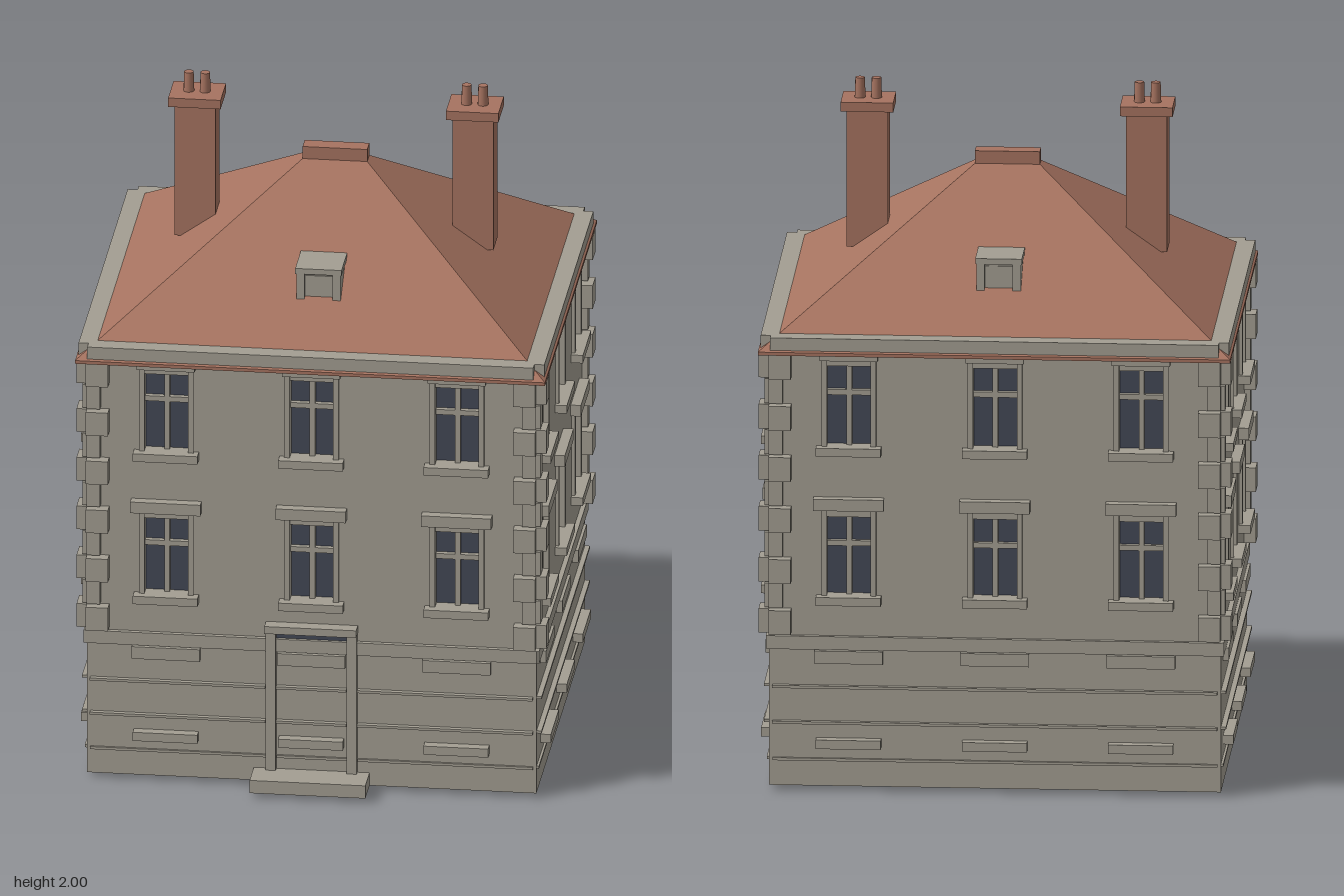
import * as THREE from 'three';

const stone = new THREE.MeshStandardMaterial({ color: 0xa39e92 });
stone.name = 'stone';
const terracotta = new THREE.MeshStandardMaterial({ color: 0xa67360 });
terracotta.name = 'terracotta';
const glass = new THREE.MeshStandardMaterial({ color: 0x434856 });
glass.name = 'glass';

// Box given by its minimum and maximum corners
function box(parent, name, mat, x0, x1, y0, y1, z0, z1) {
  const mesh = new THREE.Mesh(new THREE.BoxGeometry(x1 - x0, y1 - y0, z1 - z0), mat);
  mesh.position.set((x0 + x1) / 2, (y0 + y1) / 2, (z0 + z1) / 2);
  mesh.name = name;
  parent.add(mesh);
  return mesh;
}

const WIN = 0.064; // half width of a window opening
const FLOORS = [[0.59, 0.825], [1.04, 1.28]];

// Recessed window with glazing bars, jambs, sill and lintel; z is the wall face
function addWindow(parent, x, z, floor) {
  const [y0, y1] = FLOORS[floor];
  const g = new THREE.Group();
  g.name = 'window';
  g.position.set(x, 0, z);
  box(g, 'windowPane', glass, -WIN, WIN, y0, y1, -0.034, -0.028);
  box(g, 'mullion', stone, -0.008, 0.008, y0, y1, -0.03, -0.012);
  box(g, 'transom', stone, -WIN, WIN, y1 - 0.09, y1 - 0.074, -0.03, -0.012);
  for (const s of [-1, 1]) box(g, 'jamb', stone, s * 0.072 - 0.008, s * 0.072 + 0.008, y0, y1 + 0.02, -0.01, 0.01);
  box(g, 'sill', stone, -0.095, 0.095, y0 - 0.025, y0, -0.01, 0.035);
  if (floor === 0) box(g, 'lintel', stone, -0.103, 0.103, y1 + 0.025, y1 + 0.06, -0.01, 0.03);
  else box(g, 'lintel', stone, -0.085, 0.085, y1 + 0.02, y1 + 0.04, -0.01, 0.022);
  parent.add(g);
}

// One side of the house, facing +z: half is half its length, dist its distance out
function facade(name, half, dist, bay, isFront) {
  const g = new THREE.Group();
  g.name = name;
  const wall = new THREE.Shape([
    new THREE.Vector2(-half, 0.46), new THREE.Vector2(half, 0.46),
    new THREE.Vector2(half, 1.325), new THREE.Vector2(-half, 1.325)]);
  for (const x of [-bay, 0, bay]) {
    FLOORS.forEach(([y0, y1], i) => {
      wall.holes.push(new THREE.Path([
        new THREE.Vector2(x - WIN, y0), new THREE.Vector2(x - WIN, y1),
        new THREE.Vector2(x + WIN, y1), new THREE.Vector2(x + WIN, y0)]));
      addWindow(g, x, dist, i);
    });
    // Ground floor ledges
    box(g, 'lowerLintel', stone, x - 0.1, x + 0.1, 0.387, 0.425, dist, dist + 0.022);
    box(g, 'lowerSill', stone, x - 0.095, x + 0.095, 0.133, 0.16, dist, dist + 0.035);
  }
  const geo = new THREE.ExtrudeGeometry(wall, { depth: 0.035, bevelEnabled: false });
  const mesh = new THREE.Mesh(geo, stone);
  mesh.name = 'upperWall';
  mesh.position.z = dist - 0.035;
  g.add(mesh);

  // Thin string courses, broken by the door surround at the front
  const spans = isFront
    ? [[-half, -0.135], [-0.103, 0.103], [0.135, half]]
    : [[-half, half]];
  for (const y of [0.095, 0.207, 0.315]) {
    const out = y < 0.1 ? 0.012 : 0.02;
    for (const [a, b] of spans) box(g, 'stringCourse', stone, a, b, y - 0.004, y + 0.004, dist, dist + out);
  }
  box(g, 'baseBand', stone, -half - 0.012, half + 0.012, 0.427, 0.467, dist, dist + 0.014);
  return g;
}

// Block whose top face is shrunk to make a hipped roof
function hip(hx, hz, tx, tz, y0, y1) {
  const geo = new THREE.BoxGeometry(1, 1, 1).toNonIndexed();
  const p = geo.attributes.position;
  for (let i = 0; i < p.count; i++) {
    const top = p.getY(i) > 0;
    p.setXYZ(i, Math.sign(p.getX(i)) * (top ? tx : hx), top ? y1 : y0, Math.sign(p.getZ(i)) * (top ? tz : hz));
  }
  geo.computeVertexNormals();
  return geo;
}

function addChimney(parent, x) {
  const g = new THREE.Group();
  g.name = 'chimney';
  g.position.x = x;
  box(g, 'chimneyShaft', terracotta, -0.06, 0.06, 1.5, 1.915, -0.047, 0.047);
  box(g, 'chimneyCap', terracotta, -0.077, 0.077, 1.912, 1.94, -0.065, 0.065);
  for (const s of [-1, 1]) {
    const pot = new THREE.Mesh(new THREE.CylinderGeometry(0.014, 0.016, 0.065, 12), terracotta);
    pot.name = 'chimneyPot';
    pot.position.set(s * 0.024, 1.9675, 0);
    g.add(pot);
  }
  parent.add(g);
}

// Roof window facing +z, with a recessed panel
function dormer() {
  const g = new THREE.Group();
  g.name = 'dormer';
  box(g, 'dormerBody', stone, -0.06, 0.06, 1.47, 1.56, 0.28, 0.405);
  box(g, 'dormerRoof', stone, -0.068, 0.068, 1.553, 1.57, 0.285, 0.42);
  for (const s of [-1, 1]) box(g, 'dormerCheek', stone, s * 0.053 - 0.012, s * 0.053 + 0.012, 1.472, 1.555, 0.3, 0.418);
  box(g, 'dormerPanel', stone, -0.041, 0.041, 1.475, 1.545, 0.4, 0.409);
  return g;
}

export function createModel() {
  const model = new THREE.Group();
  const house = new THREE.Group();
  house.name = 'house';
  house.position.z = -0.03;
  model.add(house);

  // Walls
  box(house, 'base', stone, -0.66, 0.66, 0.015, 0.465, -0.58, 0.58);
  const sides = [['frontWall', 0.65, 0.575, 0.427], ['leftWall', 0.575, 0.655, 0.383],
    ['backWall', 0.65, 0.575, 0.427], ['rightWall', 0.575, 0.655, 0.383]];
  sides.forEach(([name, half, dist, bay], i) => {
    const f = facade(name, half, dist, bay, i === 0);
    f.rotation.y = i * Math.PI / 2;
    house.add(f);
  });

  // Corner stones, long and short in turn
  for (const sx of [-1, 1]) for (const sz of [-1, 1]) {
    for (let i = 0; i < 11; i++) {
      const y = 0.475 + i * 0.077, long = i % 2 === 0;
      const inset = long ? 0.055 : 0.03, out = long ? 0.035 : 0.018;
      const q1 = box(house, 'cornerStone', stone, 0.65 - inset, 0.66, y, y + 0.073, 0.55, 0.575 + out);
      const q2 = box(house, 'cornerStone', stone, 0.63, 0.655 + out, y, y + 0.073, 0.575 - inset, 0.585);
      for (const q of [q1, q2]) {
        q.position.x *= sx;
        q.position.z *= sz;
      }
    }
  }

  // Entrance
  for (const s of [-1, 1]) box(house, 'doorJamb', stone, s * 0.119 - 0.015, s * 0.119 + 0.015, 0, 0.49, 0.57, 0.597);
  box(house, 'doorLight', glass, -0.103, 0.103, 0.467, 0.495, 0.57, 0.579);
  box(house, 'doorHood', stone, -0.135, 0.135, 0.493, 0.516, 0.57, 0.615);
  box(house, 'doorStep', stone, -0.17, 0.17, 0.015, 0.055, 0.57, 0.68);

  // Roof, eaves and parapet strips that leave the corners open
  box(house, 'eaves', terracotta, -0.69, 0.69, 1.32, 1.33, -0.62, 0.62);
  const roof = new THREE.Mesh(hip(0.69, 0.62, 0.095, 0.025, 1.33, 1.752), terracotta);
  roof.name = 'roof';
  house.add(roof);
  box(house, 'ridge', terracotta, -0.095, 0.095, 1.745, 1.79, -0.025, 0.025);
  for (const s of [-1, 1]) {
    box(house, 'parapet', stone, -0.655, 0.655, 1.33, 1.372, s * 0.587 - 0.027, s * 0.587 + 0.027);
    box(house, 'parapet', stone, s * 0.657 - 0.027, s * 0.657 + 0.027, 1.33, 1.372, -0.585, 0.585);
    addChimney(house, s * 0.408);
    const d = dormer();
    d.rotation.y = s > 0 ? 0 : Math.PI;
    house.add(d);
  }
  return model;
}
